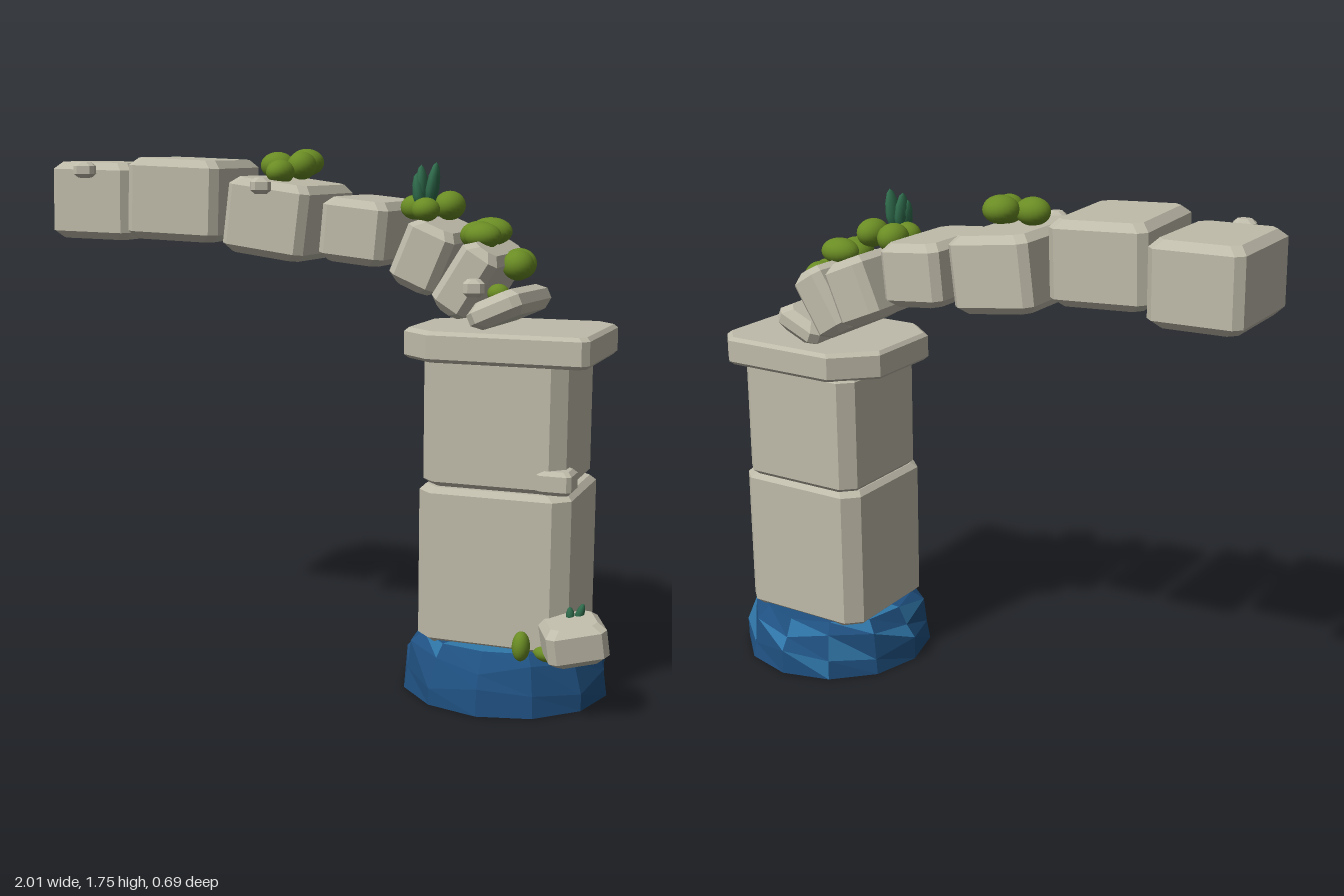
import * as THREE from 'three';
import { ConvexGeometry } from 'three/addons/geometries/ConvexGeometry.js';

const mat = (name, color, flatShading = false) => {
  const m = new THREE.MeshStandardMaterial({ color, flatShading });
  m.name = name;
  return m;
};

// Convex slab from an [x, z] outline, with bevelled top and bottom rims
function slab(outline, y0, y1, bevel, cx = 0, cz = 0) {
  const pts = [];
  for (const [x, z] of outline) {
    const ix = x - Math.sign(x - cx) * bevel, iz = z - Math.sign(z - cz) * bevel;
    pts.push(
      new THREE.Vector3(ix, y0, iz), new THREE.Vector3(x, y0 + bevel, z),
      new THREE.Vector3(x, y1 - bevel, z), new THREE.Vector3(ix, y1, iz));
  }
  return new ConvexGeometry(pts);
}

// Box with cut vertical corners and bevelled rims, centred on the origin
function cutBox(w, h, d, corner, bevel) {
  const a = w / 2, b = d / 2, c = corner;
  const outline = [];
  for (const sx of [-1, 1]) for (const sz of [-1, 1])
    outline.push([sx * a, sz * (b - c)], [sx * (a - c), sz * b]);
  return slab(outline, -h / 2, h / 2, bevel);
}

export function createModel() {
  const model = new THREE.Group();
  model.name = 'brokenArch';
  const stone = mat('stone', 0xbfbbaa, true);
  const blue = mat('deepBlue', 0x1f5080, true);
  const paleBlue = mat('paleBlue', 0x2f76a8, true);
  const moss = mat('moss', 0x6a8c24);
  const leaf = mat('leaf', 0x2f6b4c);

  const add = (name, geometry, material, [x, y, z], [rx, ry, rz] = [0, 0, 0], parent = model) => {
    const mesh = new THREE.Mesh(geometry, material);
    mesh.name = name;
    mesh.position.set(x, y, z);
    mesh.rotation.set(rx, ry, rz, 'ZYX');
    parent.add(mesh);
    return mesh;
  };
  const group = (name) => {
    const g = new THREE.Group();
    g.name = name;
    model.add(g);
    return g;
  };

  // Faceted blue footing, its middle rings slightly uneven
  const profile = [[0, 0], [0.34, 0], [0.335, 0.07], [0.312, 0.145], [0.275, 0.19], [0, 0.2]]
    .map(([r, y]) => new THREE.Vector2(r, y));
  const footing = new THREE.LatheGeometry(profile, 12).toNonIndexed();
  const p = footing.attributes.position;
  for (let i = 0; i < p.count; i++) {
    const y = p.getY(i);
    if (y < 0.03 || y > 0.195) continue;
    const a = Math.atan2(p.getZ(i), p.getX(i));
    const k = 1 + 0.02 * Math.cos(a * 5 + y * 40);
    p.setXYZ(i, p.getX(i) * k, y + (y < 0.17 ? 0.018 * Math.sin(a * 4 + y * 30) : 0), p.getZ(i) * k);
  }
  footing.computeVertexNormals();
  for (let t = 0; t < p.count / 3; t++) {
    const y = (p.getY(t * 3) + p.getY(t * 3 + 1) + p.getY(t * 3 + 2)) / 3;
    footing.addGroup(t * 3, 3, y > 0.03 && (t * 7) % 11 < 2 ? 1 : 0);
  }
  add('footing', footing, [blue, paleBlue], [0.607, 0, 0]);

  // Pillar shafts and capital slab
  add('lowerShaft', cutBox(0.495, 0.51, 0.45, 0.05, 0.018), stone, [0.608, 0.435, -0.003]);
  add('upperShaft', cutBox(0.465, 0.41, 0.43, 0.045, 0.015), stone, [0.6, 0.895, -0.015]);
  const capOutline = [[0.3, 0.16], [0.4, 0.245], [0.89, 0.245], [0.91, 0.22],
    [0.91, -0.19], [0.85, -0.255], [0.43, -0.255], [0.3, -0.13]];
  add('capital', slab(capOutline, 1.09, 1.188, 0.012, 0.6, 0), stone, [0, 0, 0]);

  // Arch blocks: size, position, rotation
  const arch = group('archBlocks');
  [
    [[0.30, 0.26, 0.37], [-0.85, 1.57, -0.04], [0, 0, -0.02]],
    [[0.32, 0.265, 0.41], [-0.495, 1.58, 0.042], [0, 0.07, -0.04]],
    [[0.29, 0.245, 0.41], [-0.17, 1.52, -0.01], [0, -0.02, -0.13]],
    [[0.225, 0.205, 0.38], [0.12, 1.483, -0.03], [0, -0.02, -0.1]],
    [[0.165, 0.215, 0.385], [0.34, 1.405, -0.055], [0, 0, -0.4]],
    [[0.13, 0.235, 0.41], [0.5, 1.34, -0.005], [0, 0, -0.56]],
    [[0.18, 0.085, 0.40], [0.6, 1.25, 0], [-0.03, 0, 0.42]],
  ].forEach(([s, pos, rot], i) =>
    add('archBlock' + (i + 1), cutBox(...s, 0.025, 0.025), stone, pos, rot, arch));

  // Loose stones
  const chips = group('looseStones');
  add('fallenBlock', cutBox(0.19, 0.125, 0.18, 0.022, 0.022), stone, [0.885, 0.252, 0.23], [0.12, 0.42, 0.16], chips);
  [
    [[0.11, 0.075, 0.11], [0.805, 0.73, 0.16], 0],
    [[0.07, 0.052, 0.055], [-0.83, 1.675, 0.193], 0.3],
    [[0.065, 0.052, 0.055], [-0.17, 1.628, 0.215], 0.5],
    [[0.065, 0.055, 0.06], [0.545, 1.325, 0.22], 0.3],
  ].forEach(([s, pos, ry], i) =>
    add('chip' + (i + 1), cutBox(...s, 0.013, 0.013), stone, pos, [0, ry, 0], chips));

  // Moss lobes: centre, radii
  const mossGroup = group('mossClumps');
  const ball = new THREE.SphereGeometry(1, 20, 14);
  [
    [[-0.13, 1.70, -0.07], [0.058, 0.045, 0.06]],
    [[-0.205, 1.69, 0], [0.058, 0.045, 0.052]],
    [[-0.118, 1.69, 0.0], [0.048, 0.046, 0.055]],
    [[-0.165, 1.67, 0.07], [0.045, 0.04, 0.058]],
    [[0.293, 1.56, -0.05], [0.05, 0.048, 0.06]],
    [[0.385, 1.565, -0.035], [0.05, 0.047, 0.062]],
    [[0.29, 1.56, 0.025], [0.05, 0.04, 0.042]],
    [[0.34, 1.555, 0.075], [0.045, 0.038, 0.048]],
    [[0.5, 1.475, 0.02], [0.06, 0.045, 0.06]],
    [[0.525, 1.485, -0.03], [0.07, 0.045, 0.055]],
    [[0.525, 1.475, 0.065], [0.06, 0.042, 0.055]],
    [[0.635, 1.385, 0.04], [0.05, 0.048, 0.055]],
    [[0.625, 1.385, -0.015], [0.055, 0.05, 0.055]],
    [[0.59, 1.3, 0.1], [0.035, 0.03, 0.035]],
    [[0.725, 0.215, 0.25], [0.028, 0.048, 0.035]],
    [[0.8, 0.19, 0.2], [0.05, 0.03, 0.045]],
  ].forEach(([pos, r], i) => add('moss' + (i + 1), ball, moss, pos, [0, 0, 0], mossGroup).scale.set(...r));

  // Pointed leaves, swept from a tapering profile of unit height
  const leafGeo = new THREE.LatheGeometry(
    [[0, 0], [0.7, 0.12], [1, 0.4], [0.85, 0.7], [0.45, 0.92], [0, 1]].map(([r, y]) => new THREE.Vector2(r, y)), 12);
  const leaves = group('leaves');
  [
    [[0.315, 1.56, 0.03], [0.02, 0.135, 0.034], 0.05],
    [[0.338, 1.56, 0.03], [0.02, 0.145, 0.034], -0.15],
    [[0.315, 1.55, 0.045], [0.02, 0.12, 0.03], 0.15],
    [[0.885, 0.29, 0.19], [0.014, 0.07, 0.018], -0.3],
    [[0.87, 0.29, 0.2], [0.014, 0.055, 0.018], 0.1],
  ].forEach(([pos, s, rz], i) => add('leaf' + (i + 1), leafGeo, leaf, pos, [0, 0, rz], leaves).scale.set(...s));

  return model;
}
